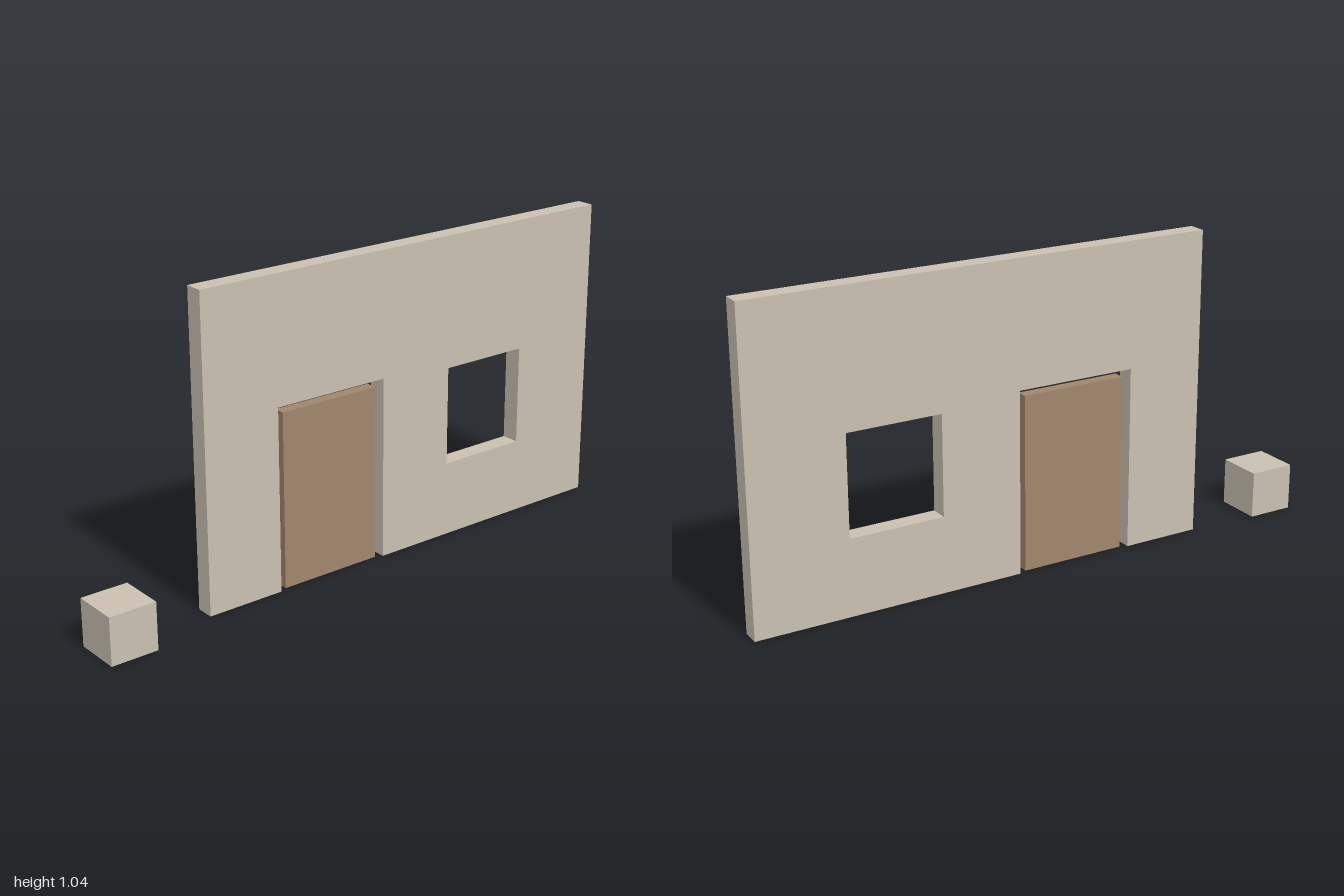
import * as THREE from 'three';

const plaster = new THREE.MeshStandardMaterial({ color: 0xc9c0b0 });
plaster.name = 'plaster';
const wood = new THREE.MeshStandardMaterial({ color: 0xa0866c });
wood.name = 'wood';

// Box given by its lower and upper corners
function block(name, min, max, material) {
  const size = max.map((v, i) => v - min[i]);
  const mesh = new THREE.Mesh(new THREE.BoxGeometry(...size), material);
  mesh.position.set(...min.map((v, i) => (v + max[i]) / 2));
  mesh.name = name;
  return mesh;
}

const points = (list) => list.map(([x, y]) => new THREE.Vector2(x, y));

export function createModel() {
  const group = new THREE.Group();
  group.name = 'wallWithDoorAndWindow';

  // Wall outline with the doorway open at the floor
  const outline = new THREE.Shape(points([
    [-0.6, 0], [-0.33, 0], [-0.33, 0.62], [0.085, 0.62],
    [0.085, 0], [1, 0], [1, 1.043], [-0.6, 1.043],
  ]));
  // Window opening
  outline.holes.push(new THREE.Path(points([
    [0.36, 0.258], [0.36, 0.595], [0.68, 0.595], [0.68, 0.258],
  ])));
  const thickness = 0.062;
  const wall = new THREE.Mesh(
    new THREE.ExtrudeGeometry(outline, { depth: thickness, bevelEnabled: false }), plaster);
  wall.position.z = -thickness;
  wall.name = 'wall';
  group.add(wall);

  // Door leaf, set inside the doorway with a gap around it
  group.add(block('door', [-0.305, 0, -0.051], [0.06, 0.595, -0.011], wood));

  // Small loose cube beside the wall
  group.add(block('cube', [-1, 0, -0.08], [-0.84, 0.16, 0.08], plaster));

  return group;
}
